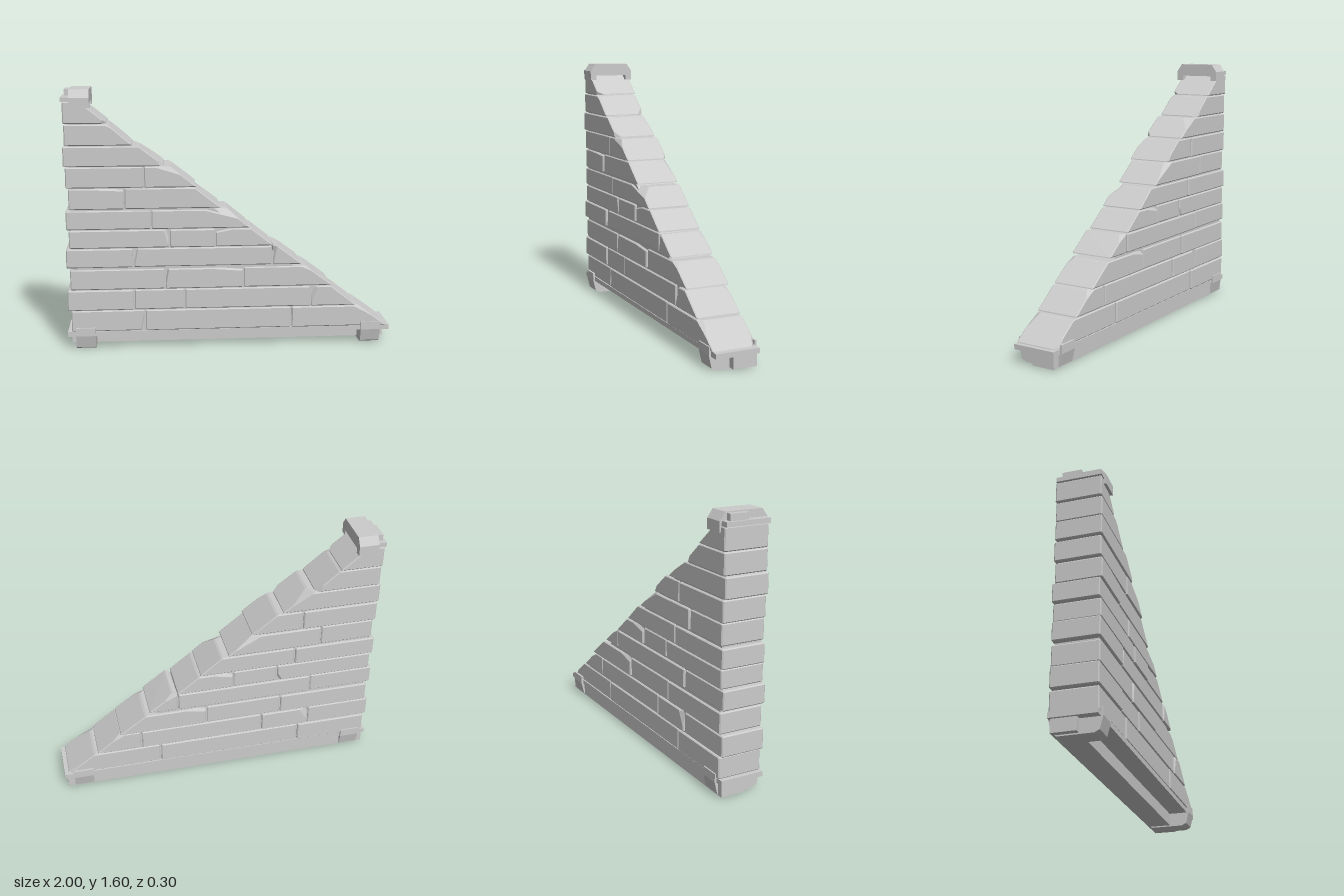
import * as THREE from 'three';
import { ConvexGeometry } from 'three/addons/geometries/ConvexGeometry.js';

const material = new THREE.MeshStandardMaterial({ color: 0xcccccc, flatShading: true });

function add(parent, name, geometry) {
  const mesh = new THREE.Mesh(geometry, material);
  mesh.name = name;
  parent.add(mesh);
  return mesh;
}

function box(parent, name, [x0, x1], [y0, y1], [z0, z1]) {
  add(parent, name, new THREE.BoxGeometry(x1 - x0, y1 - y0, z1 - z0))
    .position.set((x0 + x1) / 2, (y0 + y1) / 2, (z0 + z1) / 2);
}

// Outline given as [z, y], swept along x from x0 to x1
function sweepX(parent, name, outline, x0, x1) {
  const shape = new THREE.Shape(outline.map(([z, y]) => new THREE.Vector2(-z, y)));
  const geometry = new THREE.ExtrudeGeometry(shape, { depth: x1 - x0, bevelEnabled: false });
  geometry.rotateY(Math.PI / 2).translate(x0, 0, 0);
  add(parent, name, geometry);
}

// Chamfered brick; right end may slant from xb (bottom) to xt (top).
// Chips are [sx, sy, sz, dx, dy, dz]: a corner and how far it is cut back.
function brick(x0, xb, xt, y0, y1, zBack, zFront, chips) {
  const points = [];
  const bevel = 0.006;
  for (const sx of [-1, 1]) for (const sy of [-1, 1]) for (const sz of [-1, 1]) {
    const put = (dx, dy, dz) => {
      const y = sy < 0 ? y0 + dy : y1 - dy;
      const right = xb + (xt - xb) * (y - y0) / (y1 - y0);
      points.push(new THREE.Vector3(sx < 0 ? x0 + dx : right - dx, y, sz < 0 ? zBack + dz : zFront - dz));
    };
    const chip = chips.find(c => c[0] === sx && c[1] === sy && c[2] === sz);
    if (chip) {
      const [dx, dy, dz] = chip.slice(3);
      put(dx, bevel, bevel); put(bevel, dy, bevel); put(bevel, bevel, dz);
      put(dx, 0, bevel); put(dx, bevel, 0);
      put(0, dy, bevel); put(bevel, dy, 0);
      put(0, bevel, dz); put(bevel, 0, dz);
    } else {
      put(0, bevel, bevel); put(bevel, 0, bevel); put(bevel, bevel, 0);
    }
  }
  return new ConvexGeometry(points);
}

// Courses: bottom y, top y, left x, slope x at bottom, slope x at top, joints
const courses = [
  [0.115, 0.245, -0.975, 0.98, 0.80, [-0.525, 0.38]],
  [0.25, 0.375, -0.995, 0.785, 0.625, [-0.59, -0.28, 0.50]],
  [0.38, 0.505, -0.975, 0.635, 0.465, [-0.40, 0.08]],
  [0.52, 0.635, -0.995, 0.445, 0.29, [-0.59, 0.26]],
  [0.64, 0.75, -0.975, 0.265, 0.125, [-0.37, -0.09]],
  [0.755, 0.87, -0.99, 0.12, -0.02, [-0.48]],
  [0.88, 1.005, -0.97, -0.055, -0.215, [-0.64]],
  [1.01, 1.135, -0.985, -0.20, -0.36, [-0.52]],
  [1.14, 1.26, -0.995, -0.39, -0.55, []],
  [1.265, 1.39, -0.985, -0.58, -0.73, []],
  [1.395, 1.525, -0.99, -0.73, -0.89, []],
];

// Worn corners, keyed by course-brick
const chips = {
  '0-0': [[1, -1, 1, 0.025, 0.10, 0.03]],
  '0-2': [[1, 1, 1, 0.03, 0.06, 0.03], [1, -1, -1, 0.04, 0.05, 0.03]],
  '1-3': [[-1, 1, 1, 0.04, 0.10, 0.03], [1, 1, -1, 0.03, 0.04, 0.03]],
  '1-1': [[-1, 1, -1, 0.05, 0.09, 0.02]],
  '2-1': [[-1, 1, 1, 0.02, 0.10, 0.03], [1, 1, 1, 0.18, 0.02, 0.03]],
  '2-2': [[-1, 1, -1, 0.12, 0.03, 0.02], [1, 1, 1, 0.03, 0.03, 0.03]],
  '3-1': [[-1, 1, 1, 0.025, 0.10, 0.03]],
  '3-2': [[-1, 1, 1, 0.03, 0.10, 0.03], [1, 1, -1, 0.03, 0.04, 0.03]],
  '4-0': [[1, 1, 1, 0.03, 0.09, 0.02], [1, -1, -1, 0.03, 0.05, 0.02]],
  '4-2': [[-1, 1, 1, 0.10, 0.025, 0.03], [-1, 1, -1, 0.12, 0.03, 0.02]],
  '5-1': [[1, 1, 1, 0.14, 0.06, 0.06]],
  '6-0': [[1, 1, 1, 0.2, 0.015, 0.02]],
  '6-1': [[1, 1, -1, 0.05, 0.09, 0.03]],
  '7-1': [[1, 1, 1, 0.09, 0.05, 0.02], [1, -1, -1, 0.03, 0.04, 0.02]],
  '8-0': [[1, 1, -1, 0.03, 0.07, 0.07], [1, -1, 1, 0.03, 0.03, 0.03]],
  '9-0': [[1, -1, -1, 0.03, 0.04, 0.04], [1, 1, 1, 0.02, 0.02, 0.03]],
  '10-0': [[1, -1, 1, 0.03, 0.02, 0.04]],
};

export function createModel() {
  const model = new THREE.Group();
  model.name = 'gableWall';

  // Brick courses stepping up the slope
  const bricks = new THREE.Group();
  bricks.name = 'bricks';
  model.add(bricks);
  courses.forEach(([y0, y1, left, slopeBottom, slopeTop, joints], row) => {
    const starts = [left, ...joints];
    starts.forEach((start, i) => {
      const last = i === joints.length;
      const xb = last ? slopeBottom : joints[i] - 0.004;
      const xt = last ? slopeTop : xb;
      const x0 = i ? start + 0.004 : start;
      const offset = ((row * 3 + i * 2) % 5 - 2) * 0.002;
      add(bricks, 'brick', brick(x0, xb, xt, y0, y1, -0.136 + offset, 0.136 + offset, chips[`${row}-${i}`] || []));
    });
  });

  // Mortar core behind the joints
  const core = new THREE.Shape([[-0.96, 0.1], [0.93, 0.1], [-0.9, 1.48], [-0.96, 1.48]]
    .map(([x, y]) => new THREE.Vector2(x, y)));
  const coreGeometry = new THREE.ExtrudeGeometry(core, { depth: 0.25, bevelEnabled: false });
  add(model, 'mortarCore', coreGeometry.translate(0, 0, -0.125));

  // Base plank with the narrower beam below it
  box(model, 'basePlank', [-1, 1], [0.085, 0.115], [-0.135, 0.135]);
  box(model, 'baseBeam', [-0.985, 0.985], [0.008, 0.086], [-0.125, 0.02]);

  // Brackets wrapped under the base
  const bracket = [
    [-0.1, 0], [0.1, 0], [0.13, 0.015], [0.148, 0.09], [0.148, 0.14], [0.134, 0.14], [0.134, 0.086],
    [-0.134, 0.086], [-0.134, 0.14], [-0.148, 0.14], [-0.148, 0.09], [-0.13, 0.015],
  ];
  sweepX(model, 'rightBracket', bracket, -0.95, -0.83);
  sweepX(model, 'leftBracket', bracket, 0.82, 0.94);

  // Peak: plate, beam stub and saddle cap
  box(model, 'peakPlate', [-1, -0.84], [1.524, 1.552], [-0.135, 0.135]);
  box(model, 'peakBeam', [-0.985, -0.9], [1.55, 1.59], [-0.105, 0.01]);
  sweepX(model, 'peakCap', [
    [0.148, 1.49], [0.148, 1.55], [0.115, 1.597], [-0.115, 1.597], [-0.148, 1.55], [-0.148, 1.49],
    [-0.106, 1.49], [-0.106, 1.52], [0.106, 1.52], [0.106, 1.49],
  ], -0.95, -0.83);

  return model;
}
